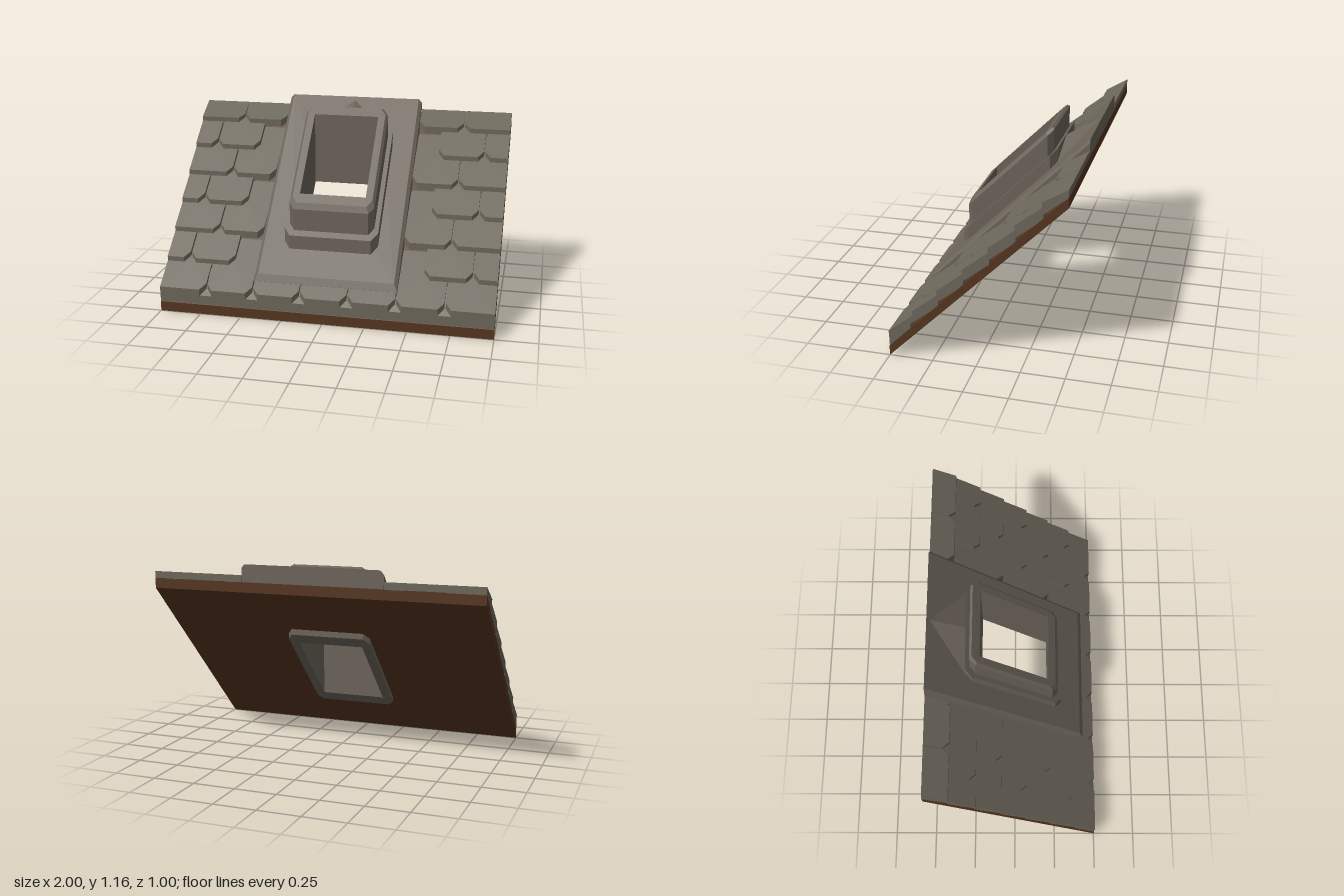
import * as THREE from 'three';

const mat = (name, color) => {
  const m = new THREE.MeshStandardMaterial({ color });
  m.name = name;
  return m;
};

// Rectangular outline at height h above the roof underside, with cut corners:
// cr / cl cut the front corners on the +x / -x side, cb cuts the back corners.
function outline(x0, x1, z0, z1, h, cr = 0, cl = cr, cb = cr) {
  return [
    [x1 - cr, z1], [x1, z1 - cr], [x1, z0 + cb], [x1 - cb, z0],
    [x0 + cb, z0], [x0, z0 + cb], [x0, z1 - cl], [x0 + cl, z1],
  ].map(([x, z]) => [x, h, z]);
}
const square = (s, h, c = 0) => outline(-s, s, -s, s, h, c);

// Skin a series of loops, leaning everything onto the 45 degree slope
function loft(loops) {
  const pos = [];
  const put = ([x, h, z]) => pos.push(x, h + 0.5 - z, z);
  for (let k = 0; k < loops.length - 1; k++) {
    const a = loops[k], b = loops[k + 1], n = a.length;
    for (let i = 0; i < n; i++) {
      const j = (i + 1) % n;
      [a[i], a[j], b[j], a[i], b[j], b[i]].forEach(put);
    }
  }
  const g = new THREE.BufferGeometry();
  g.setAttribute('position', new THREE.Float32BufferAttribute(pos, 3));
  g.computeVertexNormals();
  return g;
}

// Closed solid: both end loops collapse to their centres
function solid(...loops) {
  const centre = (l) => {
    const c = [0, 1, 2].map((i) => l.reduce((s, p) => s + p[i], 0) / l.length);
    return l.map(() => c);
  };
  return loft([centre(loops[0]), ...loops, centre(loops[loops.length - 1])]);
}
// Ring: the last loop joins back to the first
const ring = (...loops) => loft([...loops, loops[0]]);

export function createModel() {
  const model = new THREE.Group();
  model.name = 'roofSection';
  const wood = mat('wood brown', 0x553520);
  const slate = mat('shingle grey', 0x6c675b);
  const metal = mat('flashing grey', 0x6c645a);
  const add = (name, geo, material, parent = model) => {
    const m = new THREE.Mesh(geo, material);
    m.name = name;
    parent.add(m);
  };

  // Roof board with its opening
  add('roofBoard', ring(
    outline(-1, 1, -0.5, 0.5, 0), outline(-1, 1, -0.5, 0.5, 0.06),
    square(0.23, 0.06), square(0.23, 0)), wood);

  // Starter strip under the lowest shingles
  add('starterStrip', solid(
    outline(-1, 1, 0.37, 0.498, 0.06), outline(-1, 1, 0.37, 0.498, 0.115)), slate);

  // Shingles: alternate courses shift by half a width
  const shingles = new THREE.Group();
  shingles.name = 'shingles';
  model.add(shingles);
  const W = 2 / 7, gap = 0.004;
  function shingle(x0, x1, row) {
    const front = 0.5 - row * 0.144;
    const back = Math.max(front - 0.295, -0.5);
    const slope = row === 6 ? 0.4 : 0.2;
    const left = x0 <= -0.99, right = x1 >= 0.99;
    const layer = (h) => outline(
      x0 + (left ? 0 : gap), x1 - (right ? 0 : gap), back, front, h,
      right ? 0 : 0.035, left ? 0 : 0.035, 0,
    ).map(([x, y, z]) => [x, y - (front - z) * slope, z]);
    add('shingle', solid(layer(0.112), layer(0.155)), slate, shingles);
  }
  for (let row = 0; row < 7; row++) {
    const edges = row % 2 ? [-1, -1 + W / 2, -1 + W * 1.5] : [-1, -1 + W, -1 + W * 2];
    for (let i = 0; i < 2; i++) {
      shingle(edges[i], edges[i + 1], row);
      shingle(-edges[i + 1], -edges[i], row);
    }
  }
  for (let i = -1; i <= 1; i++) shingle((i - 0.5) * W, (i + 0.5) * W, 0);

  // Flat flashing panel with bevelled sides and front
  add('flashingPanel', ring(
    outline(-0.43, 0.43, -0.5, 0.43, 0.06), outline(-0.43, 0.43, -0.5, 0.43, 0.142),
    outline(-0.41, 0.41, -0.5, 0.41, 0.164), square(0.23, 0.164), square(0.23, 0.06)), metal);

  // Stepped collar around the shaft
  add('collar', ring(
    square(0.285, 0.15, 0.037), square(0.285, 0.247, 0.037),
    square(0.23, 0.247), square(0.23, 0.15)), metal);

  // Open shaft through the roof, with a bevelled rim
  add('shaft', ring(
    square(0.258, -0.034, 0.032), square(0.258, 0.378, 0.032),
    square(0.243, 0.402, 0.03), square(0.2, 0.402), square(0.2, -0.034)), metal);

  // Ridged saddle that sheds water behind the collar
  const base = [[0.27, 0.162, -0.28], [0, 0.162, -0.487], [-0.27, 0.162, -0.28]];
  add('rearSaddle', solid(base, base.map(() => [0, 0.247, -0.28])), metal);

  return model;
}
